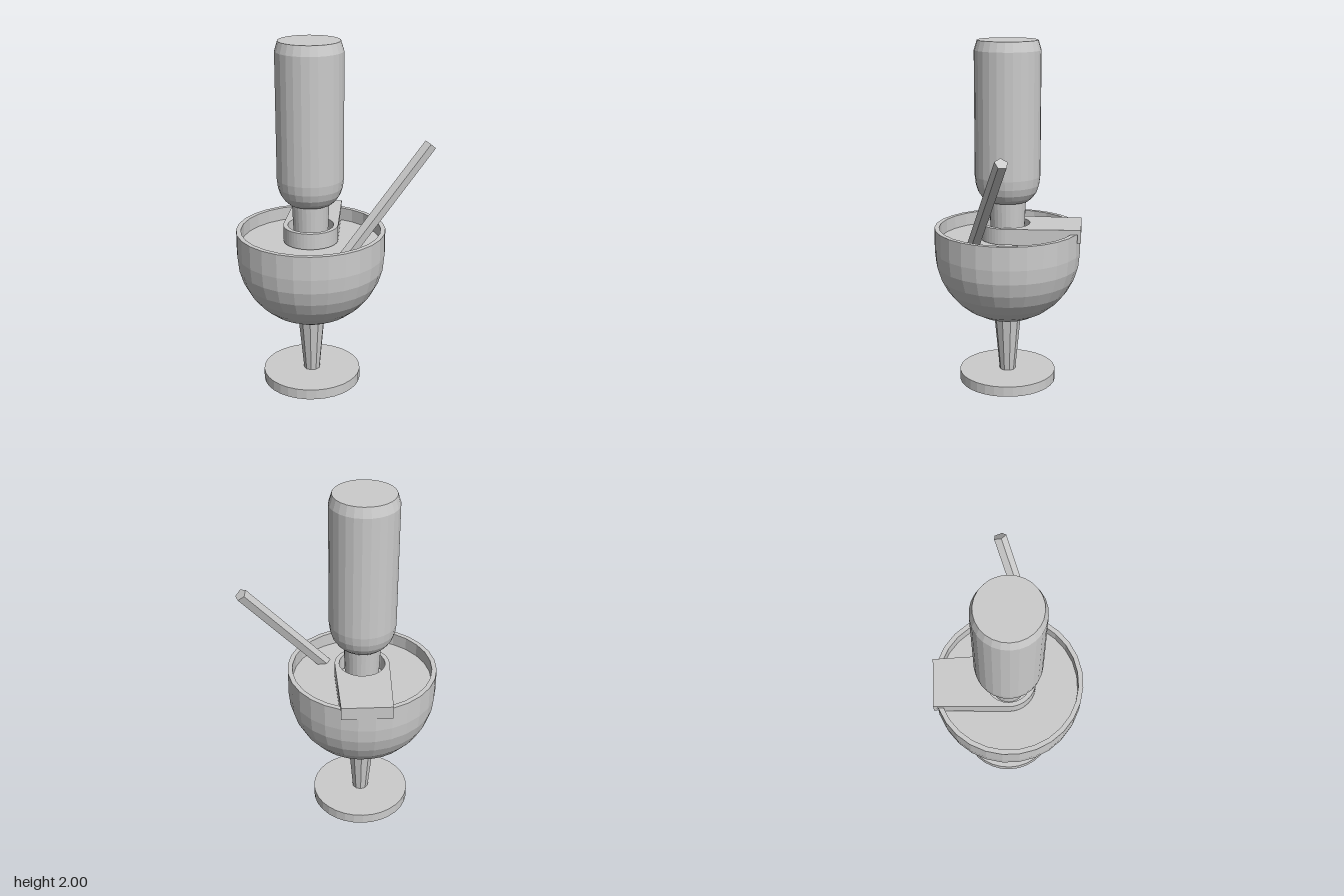
import * as THREE from 'three';

const material = new THREE.MeshStandardMaterial({ color: 0xcccccc, flatShading: true });

function part(name, geometry, x = 0, y = 0, z = 0) {
  const mesh = new THREE.Mesh(geometry, material);
  mesh.name = name;
  mesh.position.set(x, y, z);
  return mesh;
}

// Turned part from [radius, height] pairs, listed from bottom to top on the outside
function turned(name, points, sides) {
  const profile = points.map(([r, y]) => new THREE.Vector2(r, y));
  return part(name, new THREE.LatheGeometry(profile, sides, Math.PI / sides));
}

// Tapered plate with a rounded, holed front end, lying flat between two heights
function holderPlate(name, back, y0, y1) {
  const shape = new THREE.Shape();
  shape.moveTo(-0.155, 0);
  shape.absarc(0, 0, 0.155, Math.PI, Math.PI * 2, false);
  shape.lineTo(0.14, back);
  shape.lineTo(-0.14, back);
  shape.closePath();
  const hole = new THREE.Path();
  hole.absarc(0, 0, 0.13, 0, Math.PI * 2, true);
  shape.holes.push(hole);
  const geometry = new THREE.ExtrudeGeometry(shape, { depth: y1 - y0, bevelEnabled: false, curveSegments: 12 });
  geometry.rotateX(-Math.PI / 2);
  return part(name, geometry, 0, y0, 0);
}

// Straight rod between two points
function rod(name, from, to, radius, sides) {
  const direction = to.clone().sub(from);
  const mesh = part(name, new THREE.CylinderGeometry(radius, radius, direction.length(), sides));
  mesh.position.copy(from).add(to).multiplyScalar(0.5);
  mesh.quaternion.setFromUnitVectors(new THREE.Vector3(0, 1, 0), direction.normalize());
  return mesh;
}

export function createModel() {
  const model = new THREE.Group();
  model.name = 'gobletWithBottle';

  // Everything round shares one axis, left of centre to balance the straw
  const goblet = new THREE.Group();
  goblet.name = 'goblet';
  goblet.position.x = -0.135;
  model.add(goblet);

  // Foot and stem
  goblet.add(part('foot', new THREE.CylinderGeometry(0.283, 0.283, 0.06, 32), 0, 0.03, 0));
  goblet.add(part('stem', new THREE.CylinderGeometry(0.08, 0.046, 0.36, 10), 0, 0.23, 0));

  // Hemispherical bowl with a straight rim and a visible inner wall
  const bowl = [];
  for (let i = 0; i <= 8; i++) {
    const a = (i / 8) * Math.PI / 2;
    bowl.push([0.422 * Math.sin(a), 0.8 - 0.42 * Math.cos(a)]);
  }
  bowl.push([0.422, 0.936], [0.395, 0.936], [0.395, 0.85]);
  goblet.add(turned('bowl', bowl, 28));
  goblet.add(turned('drink', [[0.395, 0.86], [0, 0.86]], 28));

  // Bottle holder: plate over the rim, deeper collar inside, lip outside
  goblet.add(holderPlate('holderTop', 0.424, 0.935, 0.962));
  goblet.add(holderPlate('holderCollar', 0.385, 0.87, 0.935));
  goblet.add(part('holderLip', new THREE.BoxGeometry(0.28, 0.052, 0.02), 0, 0.911, -0.414));

  // Upturned bottle, neck down
  goblet.add(turned('bottle', [
    [0, 0.85], [0.095, 0.85], [0.105, 1.095], [0.125, 1.098], [0.148, 1.12],
    [0.168, 1.15], [0.181, 1.19], [0.187, 1.24], [0.187, 1.945], [0.17, 2], [0, 2],
  ], 26));

  // Straw leaning out of the bowl
  model.add(rod('straw', new THREE.Vector3(0.045, 0.81, 0.197), new THREE.Vector3(0.522, 1.44, -0.025), 0.037, 5));

  return model;
}
